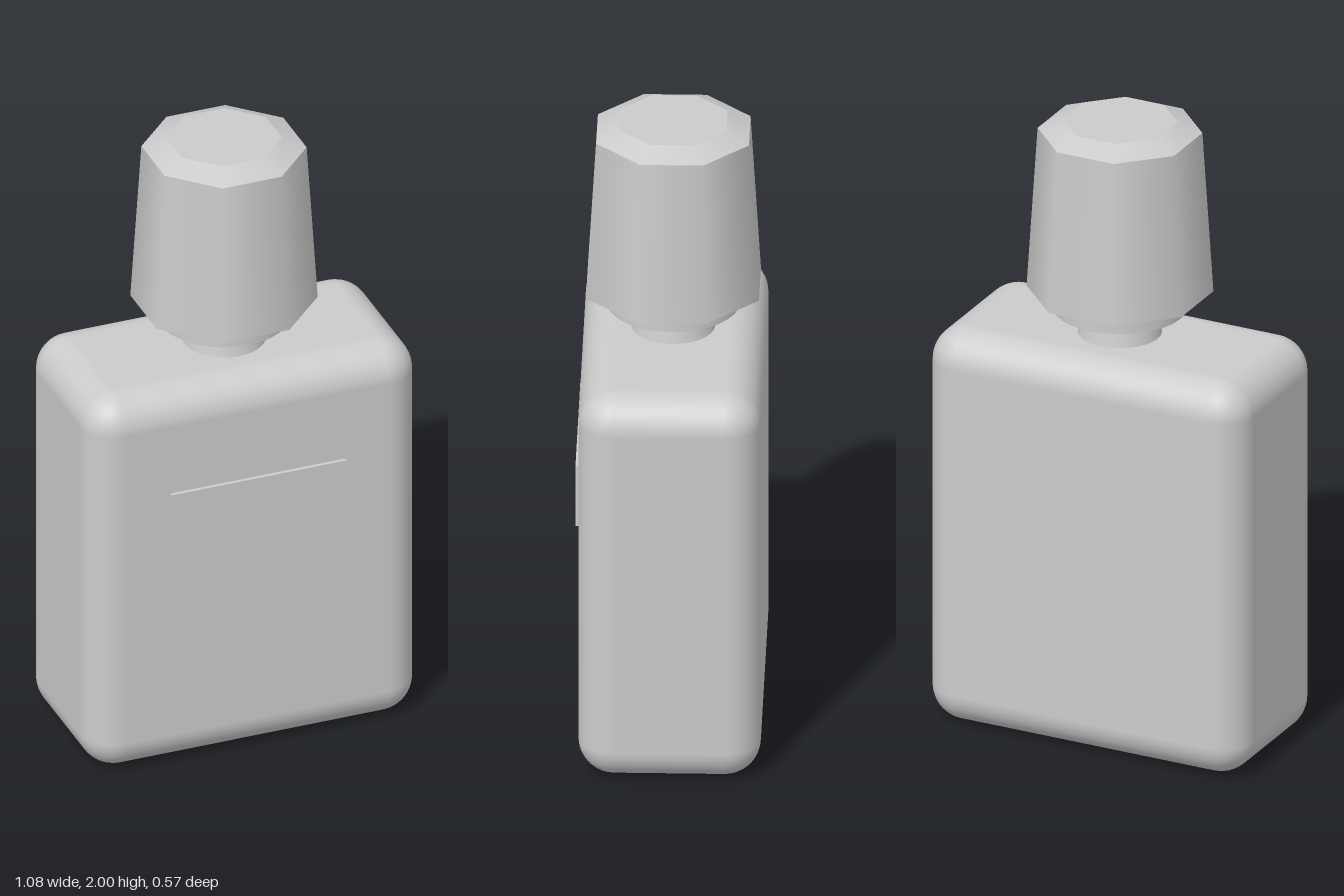
import * as THREE from 'three';
import { RoundedBoxGeometry } from 'three/addons/geometries/RoundedBoxGeometry.js';

const AXIS_Z = -0.01; // depth of the bottle's vertical axis

export function createModel() {
  const group = new THREE.Group();
  const material = new THREE.MeshStandardMaterial({ color: 0xcccccc });

  const add = (name, geometry, y, z = AXIS_Z) => {
    const mesh = new THREE.Mesh(geometry, material);
    mesh.name = name;
    mesh.position.set(0, y, z);
    group.add(mesh);
    return mesh;
  };

  // Tapered ring or prism standing between two heights
  const addTurned = (name, rTop, rBottom, y0, y1, sides) =>
    add(name, new THREE.CylinderGeometry(rTop, rBottom, y1 - y0, sides), (y0 + y1) / 2);

  // Bottle with soft edges, and a thin plate on its front
  add('bottleBody', new RoundedBoxGeometry(1.08, 1.3, 0.555, 5, 0.11), 0.65);
  add('labelPlate', new THREE.BoxGeometry(0.57, 0.205, 0.02), 0.857, 0.27);

  // Round neck and collar
  addTurned('neck', 0.112, 0.13, 1.29, 1.385, 32);
  addTurned('collar', 0.204, 0.204, 1.38, 1.445, 32);

  // Eight-sided cap with a chamfered crown, flat sides facing the axes
  const corner = 1 / Math.cos(Math.PI / 8);
  const cap = addTurned('cap', 0.232 * corner, 0.263 * corner, 1.442, 1.967, 8);
  const crown = addTurned('capCrown', 0.163 * corner, 0.232 * corner, 1.967, 2, 8);
  cap.rotation.y = crown.rotation.y = Math.PI / 8;

  return group;
}
